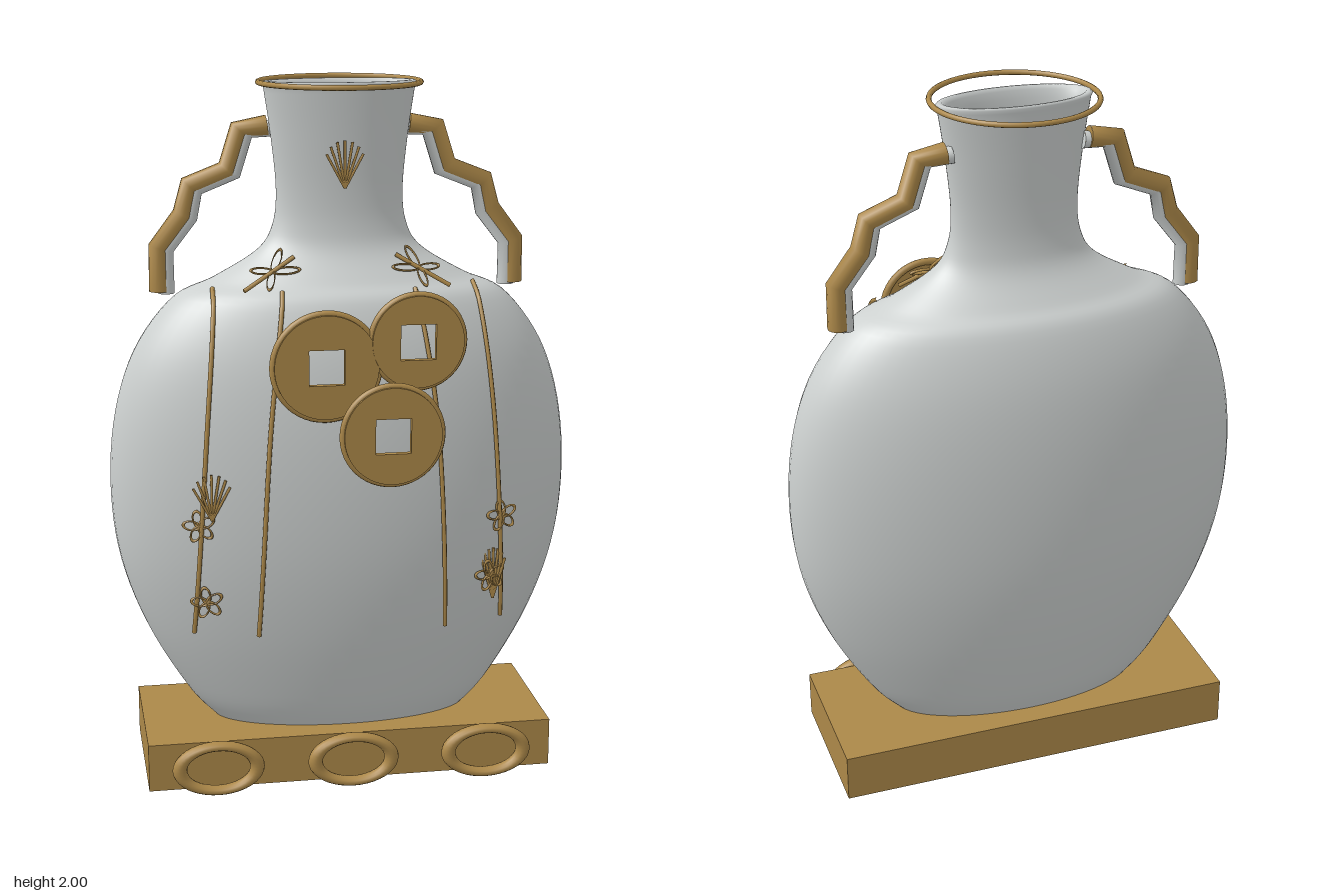
import * as THREE from 'three';

const porcelain = new THREE.MeshStandardMaterial({ color: 0xcdd1d0 });
porcelain.name = 'pale grey porcelain';
const bronze = new THREE.MeshStandardMaterial({ color: 0xac8849 });
bronze.name = 'bronze';

const AXIS_Z = -0.035; // centre line of the flattened vase
const FLAT = 0.424;    // depth to width ratio
const V3 = (x, y, z) => new THREE.Vector3(x, y, z);

const profile = new THREE.SplineCurve([
  [0.37, 0.15], [0.45, 0.24], [0.565, 0.44], [0.638, 0.65], [0.661, 0.865], [0.642, 1.08], [0.582, 1.26],
  [0.475, 1.4], [0.36, 1.455], [0.235, 1.53], [0.19, 1.6], [0.179, 1.7], [0.193, 1.85], [0.212, 1.98],
].map(([r, y]) => new THREE.Vector2(r, y))).getPoints(70);

function add(parent, name, geometry, material, x = 0, y = 0, z = 0) {
  const mesh = new THREE.Mesh(geometry, material);
  mesh.name = name;
  mesh.position.set(x, y, z);
  parent.add(mesh);
  return mesh;
}

// depth of the vase's front surface at a given x and height
function surfaceZ(x, y) {
  let i = profile.findIndex((p) => p.y >= y);
  if (i < 1) i = 1;
  const a = profile[i - 1], b = profile[i];
  const r = a.x + (b.x - a.x) * (y - a.y) / (b.y - a.y);
  return AXIS_Z + FLAT * Math.sqrt(Math.max(0, r * r - x * x));
}

// straight-sided path with mitred corners
class Polyline extends THREE.Curve {
  constructor(points) { super(); this.points = points; }
  getPoint(t, target = new THREE.Vector3()) {
    const n = this.points.length - 1;
    const i = Math.min(n - 1, Math.floor(t * n + 1e-9));
    return target.lerpVectors(this.points[i], this.points[i + 1], t * n - i);
  }
  getPointAt(t, target) { return this.getPoint(t, target); }
  getTangentAt(t, target) { return this.getTangent(t, target); }
}

function rod(parent, name, a, b, radius) {
  const mesh = add(parent, name, new THREE.CylinderGeometry(radius, radius, a.distanceTo(b), 6), bronze);
  mesh.position.copy(a).add(b).multiplyScalar(0.5);
  mesh.quaternion.setFromUnitVectors(V3(0, 1, 0), b.clone().sub(a).normalize());
}

// oval wire loop reaching outwards from the centre at an angle
function loop(parent, name, angle, length, width) {
  const geo = new THREE.TorusGeometry(length / 2, 0.0045, 6, 20);
  geo.scale(1, width / length, 1).translate(length / 2, 0, 0).rotateZ(angle);
  add(parent, name, geo, bronze);
}

function flower(parent, x, y) {
  const g = new THREE.Group();
  g.name = 'flower';
  for (let i = 0; i < 5; i++) loop(g, 'petal', Math.PI / 2 + i * Math.PI * 0.4 + 0.2, 0.045, 0.026);
  g.position.set(x, y, surfaceZ(x, y) + 0.015);
  g.rotation.y = x * 0.5;
  parent.add(g);
}

function fan(parent, x, y, z, height, spread) {
  const g = new THREE.Group();
  g.name = 'fanSpray';
  for (let i = -3; i <= 3; i++) {
    const a = i / 3 * spread;
    const len = height * (1 - 0.02 * i * i);
    rod(g, 'fanBlade', V3(0, 0, 0), V3(Math.sin(a) * len, Math.cos(a) * len, 0), 0.004);
  }
  g.position.set(x, y, z);
  parent.add(g);
}

function dragonfly(parent, side) {
  const g = new THREE.Group();
  g.name = 'dragonfly';
  rod(g, 'insectBody', V3(-0.1, 0, 0), V3(0.075, 0, 0), 0.006);
  for (const s of [-1, 1]) {
    loop(g, 'frontWing', s * 0.6, 0.075, 0.022);
    loop(g, 'backWing', s * 2.4, 0.06, 0.02);
  }
  // body lies along the slope of the shoulder
  const along = V3(-side * 0.15, 0.085, -0.055).normalize();
  const out = V3(side * 0.15, 0.6, 0.7);
  const across = out.clone().cross(along).normalize();
  g.quaternion.setFromRotationMatrix(new THREE.Matrix4().makeBasis(along, across, along.clone().cross(across)));
  g.position.set(side * 0.205, 1.488, 0.08);
  parent.add(g);
}

function coin(parent, x, y, z, radius) {
  const g = new THREE.Group();
  g.name = 'coin';
  const h = 0.049;
  const disc = new THREE.Shape().absarc(0, 0, radius * 0.92, 0, Math.PI * 2);
  disc.holes.push(new THREE.Path([[-h, -h], [-h, h], [h, h], [h, -h]].map(([a, b]) => new THREE.Vector2(a, b))));
  add(g, 'coinDisc', new THREE.ExtrudeGeometry(disc, { depth: 0.02, bevelEnabled: false, curveSegments: 32 }),
    bronze, 0, 0, -0.003);
  const rim = new THREE.TorusGeometry(radius - 0.011, 0.011, 8, 48).scale(1, 1, 0.9);
  add(g, 'coinRim', rim, bronze);
  g.position.set(x, y, z);
  parent.add(g);
}

function handle(parent, side) {
  const path = [[0.2, 1.872], [0.277, 1.862], [0.312, 1.752], [0.418, 1.71], [0.437, 1.63], [0.506, 1.54], [0.506, 1.417]];
  const sweep = (name, radius, dx, dy, material) => {
    const points = path.map(([x, y]) => V3(side * (x + dx), y + dy, -0.062));
    add(parent, name, new THREE.TubeGeometry(new Polyline(points), path.length - 1, radius, 14), material);
    // closing discs at the ends
    [[0, 1], [path.length - 1, path.length - 2]].forEach(([end, next]) => {
      const cap = add(parent, name + 'End', new THREE.CircleGeometry(radius, 14), material);
      cap.position.copy(points[end]);
      cap.quaternion.setFromUnitVectors(V3(0, 0, 1), points[end].clone().sub(points[next]).normalize());
    });
  };
  sweep('handle', 0.03, 0, 0, bronze);
  sweep('handleLining', 0.024, -0.018, -0.006, porcelain);
}

export function createModel() {
  const model = new THREE.Group();
  model.name = 'flattenedVase';

  // hollow body: outer wall, rounded lip, inner wall
  const lip = [[0.217, 1.99], [0.211, 1.996], [0.198, 1.996], [0.188, 1.985]].map(([r, y]) => new THREE.Vector2(r, y));
  const inner = profile.slice(0, -1).reverse().map((p) => new THREE.Vector2(p.x - 0.031, p.y));
  const body = new THREE.LatheGeometry([...profile, ...lip, ...inner], 64).scale(1, 1, FLAT);
  add(model, 'vaseBody', body, porcelain, 0, 0, AXIS_Z);

  // round hoop around the mouth
  add(model, 'mouthHoop', new THREE.TorusGeometry(0.225, 0.0075, 8, 64).rotateX(Math.PI / 2), bronze, 0, 1.992, AXIS_Z);

  // plinth with oval rings on its front
  add(model, 'plinth', new THREE.BoxGeometry(1.174, 0.14, 0.45), bronze, 0, 0.085, AXIS_Z);
  for (const x of [-0.39, 0, 0.39]) {
    add(model, 'plinthRing', new THREE.TorusGeometry(0.111, 0.021, 12, 40).scale(1, 0.61, 1), bronze, x, 0.085, 0.217);
  }

  for (const side of [-1, 1]) {
    handle(model, side);
    dragonfly(model, side);
    // long stems running down the front
    for (const [top, middle, bottom] of [[0.368, 0.405, 0.445], [0.185, 0.235, 0.268]]) {
      const across = new THREE.SplineCurve([[top, 1.44], [middle, 1.05], [bottom, 0.47]].map(([x, y]) => new THREE.Vector2(x, y)));
      const points = across.getPoints(14).map((p) => V3(side * p.x, p.y, surfaceZ(p.x, p.y) + 0.014));
      add(model, 'stem', new THREE.TubeGeometry(new THREE.CatmullRomCurve3(points), 40, 0.0065, 6), bronze);
    }
  }

  // three square-holed coins
  coin(model, -0.082, 1.252, 0.245, 0.156);
  coin(model, 0.169, 1.315, 0.248, 0.138);
  coin(model, 0.093, 1.066, 0.294, 0.147);

  // flowers and fan-shaped sprays
  flower(model, -0.43, 0.8);
  flower(model, -0.41, 0.57);
  flower(model, 0.43, 0.79);
  flower(model, 0.4, 0.61);
  fan(model, 0, 1.71, 0.06, 0.13, 0.5);
  fan(model, -0.395, 0.82, surfaceZ(0.395, 0.82) + 0.015, 0.13, 0.5);
  fan(model, 0.41, 0.54, surfaceZ(0.41, 0.6) + 0.015, 0.15, 0.28);

  return model;
}
